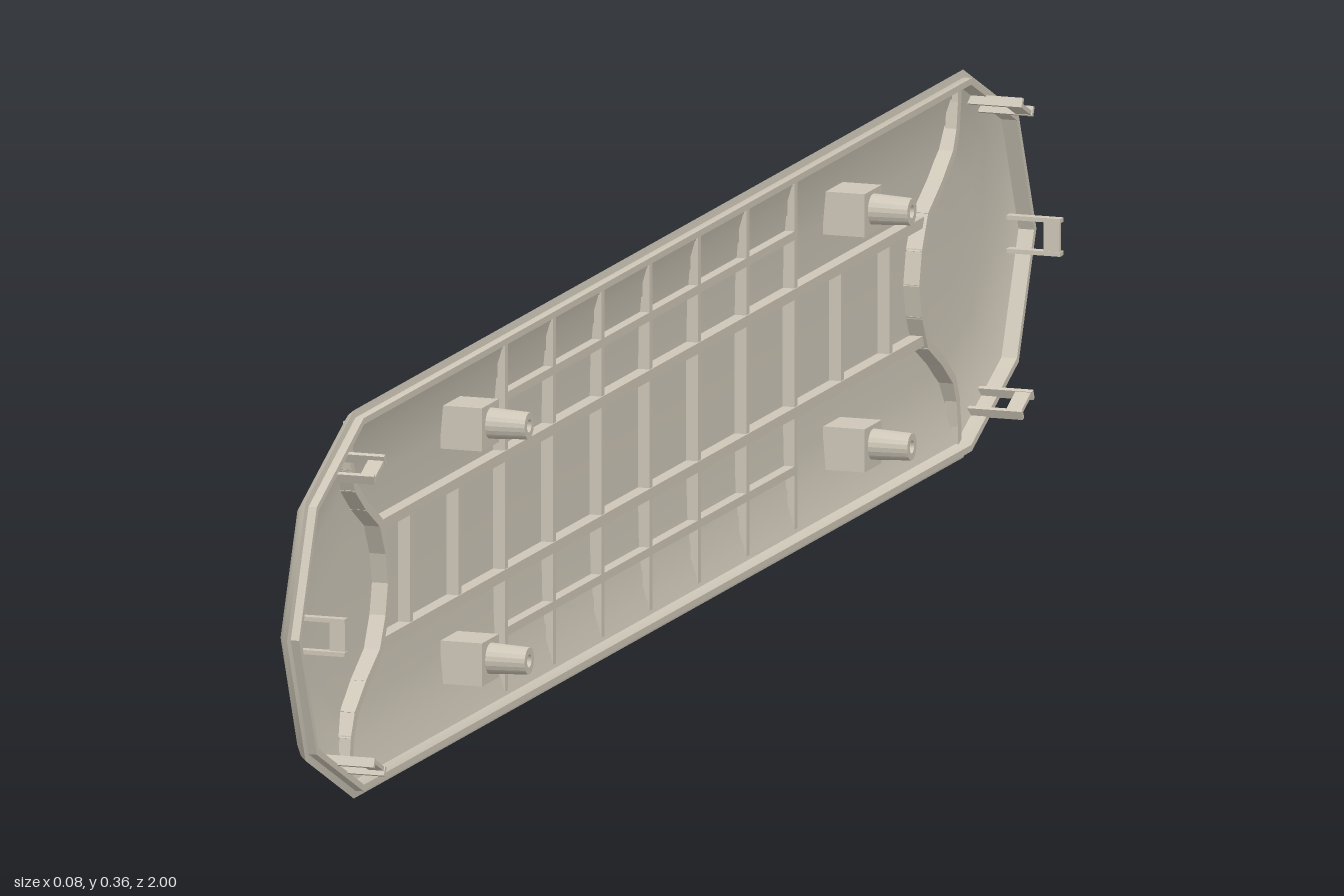
import * as THREE from 'three';
import { toCreasedNormals } from 'three/addons/utils/BufferGeometryUtils.js';

const MID = 0.18; // height of the long axis
const plastic = new THREE.MeshStandardMaterial({ color: 0xcdc6b7 });
plastic.name = 'beigePlastic';

// Elongated ten-sided outline as (z, y)
const outline = [
  [1, 0.18], [0.95, 0.3], [0.82, 0.36], [-0.82, 0.36], [-0.95, 0.3],
  [-1, 0.18], [-0.95, 0.06], [-0.82, 0], [0.82, 0], [0.95, 0.06],
].map(([z, y]) => new THREE.Vector2(z, y));

// Move every outline edge inward by d
function inset(d) {
  const n = outline.length;
  return outline.map((p, i) => {
    const a = p.clone().sub(outline[(i + n - 1) % n]).normalize();
    const b = outline[(i + 1) % n].clone().sub(p).normalize();
    const na = new THREE.Vector2(-a.y, a.x), nb = new THREE.Vector2(-b.y, b.x);
    return p.clone().addScaledVector(na.clone().add(nb), d / (1 + na.dot(nb)));
  });
}

// Shell section as (inset, x): outer dome, rim lip, inner surface
const section = [
  [0.13, -0.042], [0.08, -0.041], [0.04, -0.0375], [0.015, -0.031], [0.005, -0.025], [0, -0.019],
  [0.007, -0.018], [0.007, -0.01], [0.013, -0.01], [0.013, -0.025], [0.04, -0.033], [0.08, -0.0365], [0.13, -0.0375],
];

function shellGeometry() {
  const pos = [], index = [], n = outline.length;
  for (const [d, x] of section) for (const p of inset(d)) pos.push(x, p.y, p.x);
  const first = pos.length / 3, last = first + 1, end = (section.length - 1) * n;
  pos.push(section[0][1], MID, 0, section[section.length - 1][1], MID, 0);
  for (let j = 0; j < n; j++) {
    const k = (j + 1) % n;
    for (let i = 0; i < section.length - 1; i++) {
      const a = i * n + j, b = a + n, c = (i + 1) * n + k, d = i * n + k;
      index.push(a, b, c, a, c, d);
    }
    index.push(first, j, k, last, end + k, end + j);
  }
  const g = new THREE.BufferGeometry();
  g.setAttribute('position', new THREE.Float32BufferAttribute(pos, 3));
  g.setIndex(index);
  return toCreasedNormals(g, 0.6);
}

function add(parent, name, geometry, x = 0, y = 0, z = 0) {
  const m = new THREE.Mesh(geometry, plastic);
  m.name = name;
  m.position.set(x, y, z);
  parent.add(m);
  return m;
}

// Upright rib along (z, y) points; its foot follows the curved shell
function rib(parent, name, points, top = -0.026, width = 0.008) {
  for (let i = 0; i < points.length - 1; i++) {
    const [z0, y0] = points[i], [z1, y1] = points[i + 1];
    const d = Math.min(y0, y1, 2 * MID - y0, 2 * MID - y1);
    const low = d < 0.025 ? -0.028 : d < 0.05 ? -0.033 : d < 0.09 ? -0.037 : -0.039;
    const length = Math.hypot(z1 - z0, y1 - y0) + width * 0.4;
    const m = add(parent, name, new THREE.BoxGeometry(top - low, width, length),
      (top + low) / 2, (y0 + y1) / 2, (z0 + z1) / 2);
    m.rotation.x = -Math.atan2(y1 - y0, z1 - z0);
  }
}

// Snap clip: two prongs joined by a hooked bar; local z runs inward
function clip(y, z, angle) {
  const g = new THREE.Group();
  g.name = 'snapClip';
  for (const s of [-1, 1])
    add(g, 'clipProng', new THREE.BoxGeometry(0.052, 0.004, 0.009), -0.001, s * 0.0155, 0);
  add(g, 'clipBar', new THREE.BoxGeometry(0.015, 0.031, 0.004), 0.0165, 0, 0.002);
  g.position.set(0, y, z);
  g.rotation.x = angle;
  return g;
}

export function createModel() {
  const model = new THREE.Group();
  model.name = 'coverPanel';
  add(model, 'shell', shellGeometry());

  const ribs = new THREE.Group();
  ribs.name = 'ribs';
  model.add(ribs);

  // Full-height cross ribs
  const heights = [0.012, 0.028, 0.055, 0.1, 0.26, 0.305, 0.332, 0.348];
  for (let i = -3; i <= 3; i++)
    rib(ribs, 'crossRib', heights.map((y) => [i * 0.13, y]));

  // Long ribs
  for (const s of [-1, 1]) {
    rib(ribs, 'longRib', [[-0.73, MID + s * 0.055], [0.73, MID + s * 0.055]], -0.025, 0.01);
    rib(ribs, 'outerLongRib', [[-0.39, MID + s * 0.109], [0.39, MID + s * 0.109]]);
  }

  // Curved end walls and short rungs
  const half = [[0.82, 0.348], [0.819, 0.33], [0.815, 0.305], [0.805, 0.285], [0.775, 0.262], [0.738, 0.24], [0.722, 0.21], [0.715, MID]];
  const curve = [...half, ...half.slice(0, -1).reverse().map(([z, y]) => [z, 2 * MID - y])];
  for (const s of [-1, 1]) {
    rib(ribs, 'endWall', curve.map(([z, y]) => [s * z, y]), -0.022, 0.009);
    for (const z of [0.515, 0.645]) rib(ribs, 'rung', [[s * z, 0.125], [s * z, 0.235]]);
  }

  // Hollow screw posts on square bases
  const tube = [[0.006, -0.005], [0.006, 0.041], [0.0125, 0.041], [0.0145, 0], [0.0145, -0.005]]
    .map(([r, h]) => new THREE.Vector2(r, h)).reverse();
  const postGeometry = toCreasedNormals(new THREE.LatheGeometry(tube.reverse(), 20), 0.6);
  const postMaterial = plastic;
  postMaterial.side = THREE.DoubleSide;
  for (const z of [-0.515, 0.515]) for (const s of [-1, 1]) {
    const y = MID + s * 0.109;
    add(model, 'postBase', new THREE.BoxGeometry(0.04, 0.04, 0.046), -0.0165, y, z);
    add(model, 'screwPost', postGeometry, 0, y + 0.002, z).rotation.z = -Math.PI / 2;
  }

  // Clips around both ends
  for (const s of [-1, 1]) {
    const flip = s > 0 ? Math.PI : 0;
    model.add(clip(MID, s * 0.963, flip));
    for (const t of [-1, 1]) {
      // Turn the clip to lie along the slanted edge
      const inward = new THREE.Vector2(-s * 0.42, -t * 0.91);
      model.add(clip(MID + t * 0.138, s * 0.872, -Math.atan2(inward.y, inward.x)));
    }
  }
  return model;
}
